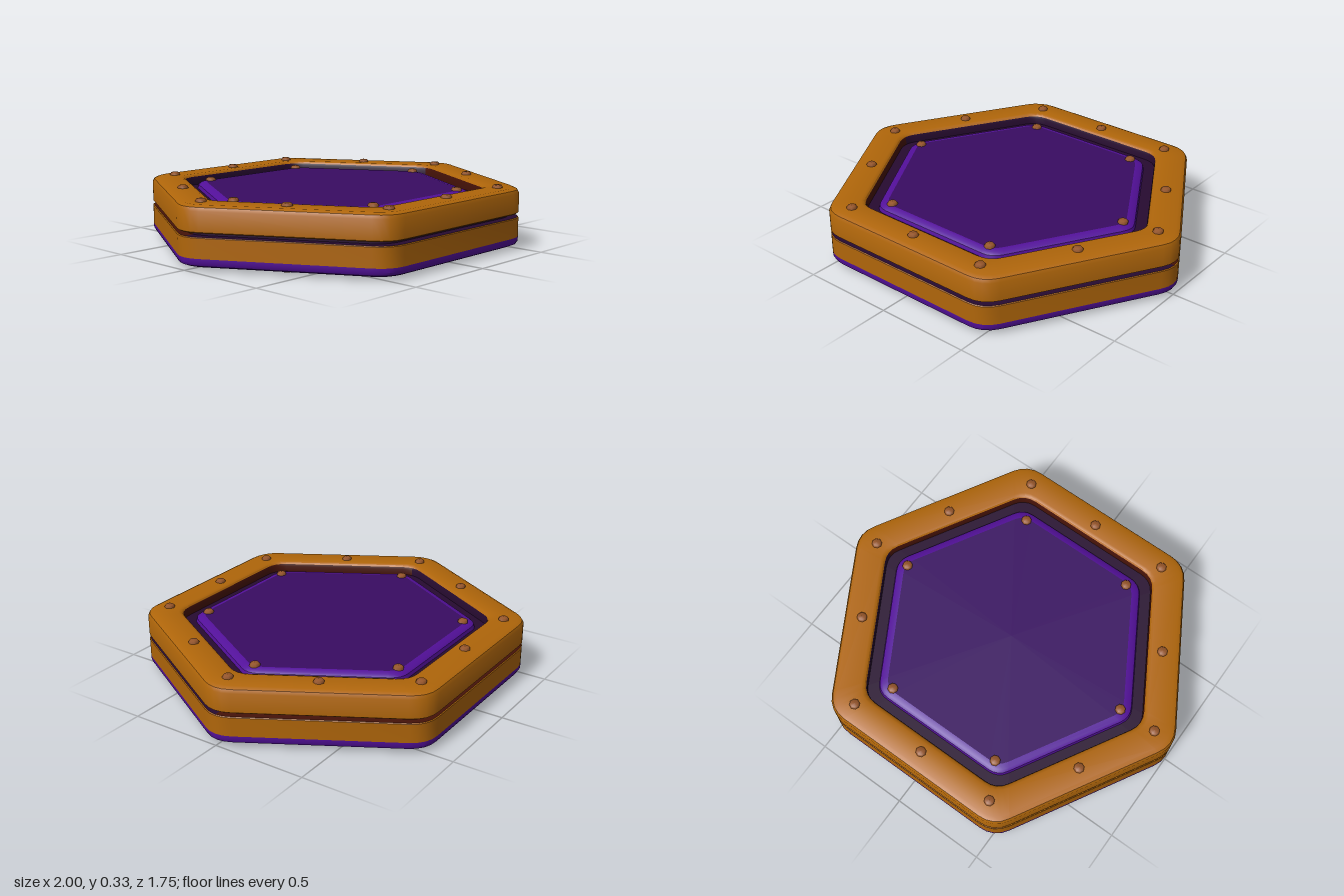
import * as THREE from 'three';
import { toCreasedNormals } from 'three/addons/utils/BufferGeometryUtils.js';

const material = (name, color) => {
  const m = new THREE.MeshStandardMaterial({ color });
  m.name = name;
  return m;
};

// Rounded hexagon outline, moved inwards by the inset (null gives the centre)
const STEPS = 4;
const COUNT = 6 * (STEPS + 1);
function outline(inset) {
  if (inset === null) return Array.from({ length: COUNT }, () => new THREE.Vector2());
  const tip = 1.02 - inset * 1.17;
  const sx = 0.517 - inset * 0.6, sz = 0.873 - inset;
  const corners = [[tip, 0], [sx, sz], [-sx, sz], [-tip, 0], [-sx, -sz], [sx, -sz]]
    .map(([x, z]) => new THREE.Vector2(x, z));
  const round = 0.09 * (1 - inset * 1.5);
  const points = [];
  corners.forEach((c, i) => {
    const toward = (o) => c.clone().add(o.clone().sub(c).setLength(round));
    const a = toward(corners[(i + 5) % 6]);
    const b = toward(corners[(i + 1) % 6]);
    points.push(...new THREE.QuadraticBezierCurve(a, c, b).getPoints(STEPS));
  });
  return points;
}

// Sweeps a profile of [inset, y] points around the hexagon, or part of it
const FRONT = [STEPS / 2, COUNT / 2 + STEPS / 2];
const BACK = [COUNT / 2 + STEPS / 2, COUNT + STEPS / 2];
function hexSweep(profile, [from, to]) {
  const positions = [], index = [];
  profile.forEach(([inset, y], j) => {
    outline(inset).forEach((p) => positions.push(p.x, y, p.y));
    if (j === profile.length - 1) return;
    for (let i = from; i < to; i++) {
      const a = j * COUNT + i % COUNT, b = j * COUNT + (i + 1) % COUNT;
      if (profile[j][0] !== null) index.push(a, b + COUNT, b);
      if (profile[j + 1][0] !== null) index.push(a, a + COUNT, b + COUNT);
    }
  });
  const g = new THREE.BufferGeometry();
  g.setAttribute('position', new THREE.Float32BufferAttribute(positions, 3));
  g.setIndex(index);
  return toCreasedNormals(g.toNonIndexed(), 0.6);
}

export function createModel() {
  const gold = material('gold', 0xb0660a);
  const violet = material('bright violet', 0x53109a);
  const purple = material('deep purple', 0x390c62);
  const plum = material('plum', 0x4a1a62);
  const dark = material('dark trench', 0x270b30);
  const maroon = material('dark maroon', 0x451208);
  const copper = material('copper', 0x945428);

  const model = new THREE.Group();
  model.name = 'hexagonalPlate';
  const add = (name, profile, mat, range = [0, COUNT]) => {
    const mesh = new THREE.Mesh(hexSweep(profile, range), mat);
    mesh.name = name;
    model.add(mesh);
  };

  // Trench floors, top and bottom
  add('topTrench', [[0.17, 0.26], [null, 0.26]], dark);
  add('bottomTrench', [[null, 0.07], [0.17, 0.07]], dark);

  // Upper gold frame, its inner wall dark with a maroon side facing back
  add('upperFrame', [
    [0.008, 0.184], [0, 0.19], [0, 0.29], [0.008, 0.307], [0.028, 0.317],
    [0.145, 0.317], [0.16, 0.312], [0.166, 0.304],
  ], gold);
  const lining = [[0.166, 0.304], [0.17, 0.292], [0.17, 0.26]];
  add('upperLiningFront', lining, maroon, FRONT);
  add('upperLiningBack', lining, dark, BACK);

  // Side groove between the frames
  const groove = [[0.004, 0.166], [0.05, 0.166], [0.05, 0.184], [0.008, 0.184]];
  add('grooveFront', groove, dark, FRONT);
  add('grooveBack', groove, maroon, BACK);

  // Lower gold frame and the thin lip showing around the bottom opening
  add('lowerFrame', [[0, 0.063], [0, 0.162], [0.004, 0.166]], gold);
  add('lowerLip', [[0.17, 0.07], [0.165, 0.024], [0.155, 0.018], [0.143, 0.022]], gold);

  // Bottom trim: violet rounded edge with a plum face
  add('bottomTrimEdge', [[0.028, 0.018], [0.008, 0.027], [0, 0.042], [0, 0.063]], violet);
  add('bottomTrimFace', [[0.143, 0.022], [0.138, 0.018], [0.028, 0.018]], plum);

  // Raised panels with bevelled rims
  add('topPanelRim', [[0.225, 0.26], [0.23, 0.279], [0.243, 0.29], [0.27, 0.295]], violet);
  add('topPanel', [[0.27, 0.295], [null, 0.295]], purple);
  add('bottomPanelRim', [[0.272, 0.036], [0.245, 0.041], [0.23, 0.05], [0.225, 0.07]], purple);
  add('bottomPanel', [[null, 0.036], [0.272, 0.036]], purple);

  // Low domed rivets on the frame and panel, above and below
  const rivetShape = new THREE.LatheGeometry([
    [0.028, -0.01], [0.027, 0.006], [0.02, 0.015], [0, 0.017],
  ].map(([r, y]) => new THREE.Vector2(r, y)), 8);
  const rivetRow = (name, spots, y, dir) => {
    const group = new THREE.Group();
    group.name = name;
    for (const [x, z] of spots) {
      const rivet = new THREE.Mesh(rivetShape, copper);
      rivet.name = 'rivet';
      rivet.position.set(x, y, z);
      if (dir < 0) rivet.rotation.x = Math.PI;
      group.add(rivet);
    }
    model.add(group);
  };
  const mirror = (x, z) => [[x, z], [-x, z], [x, -z], [-x, -z]];
  const frameSpots = [[0.89, 0], [-0.89, 0], [0, 0.775], [0, -0.775],
    ...mirror(0.425, 0.775), ...mirror(0.69, 0.38)];
  const panelSpots = [[0.685, 0], [-0.685, 0], ...mirror(0.325, 0.59)];
  rivetRow('topFrameRivets', frameSpots, 0.317, 1);
  rivetRow('topPanelRivets', panelSpots, 0.295, 1);
  rivetRow('bottomFrameRivets', frameSpots, 0.018, -1);
  rivetRow('bottomPanelRivets', panelSpots, 0.036, -1);
  return model;
}
